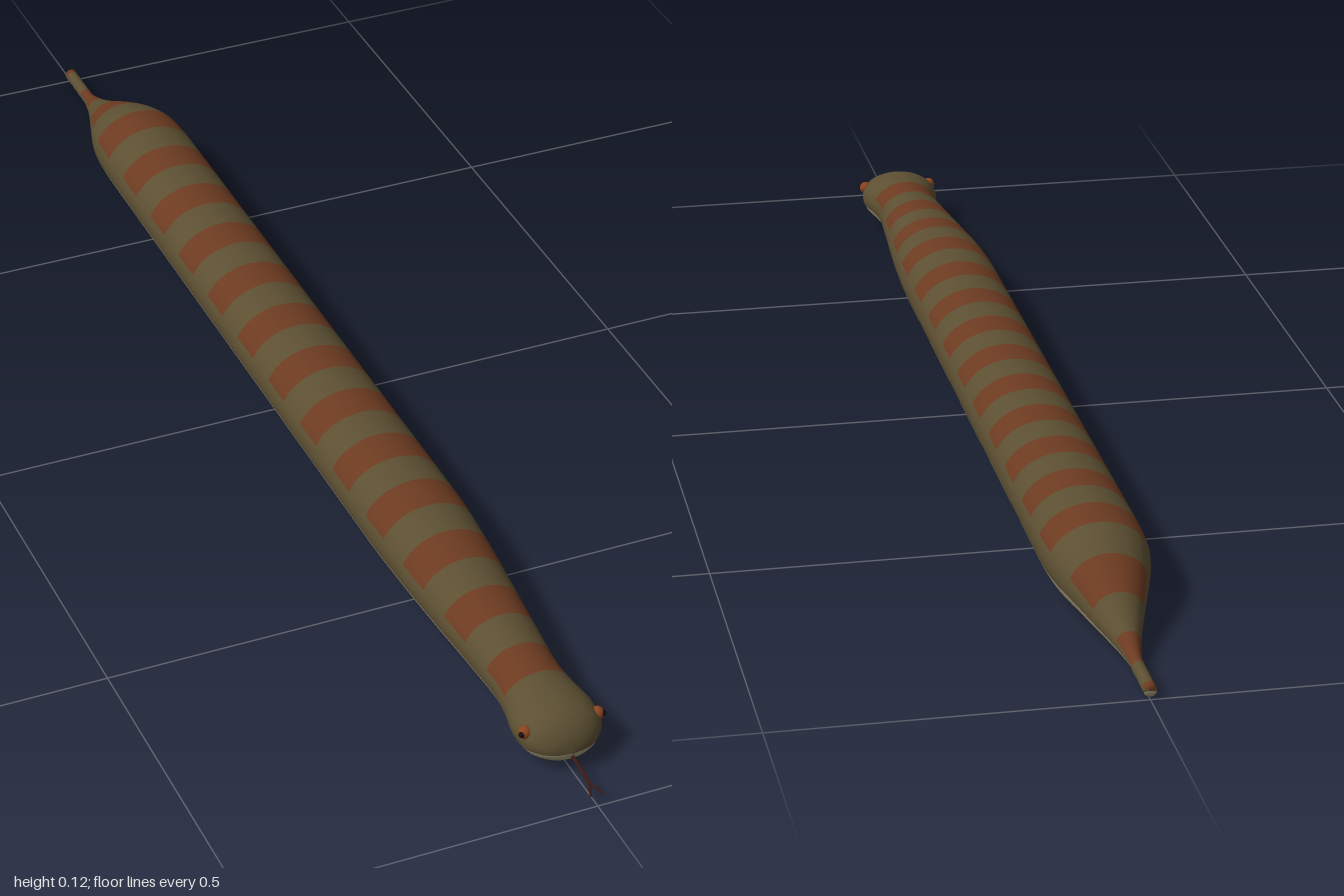
import * as THREE from 'three';

const mat = (name, color) => Object.assign(new THREE.MeshStandardMaterial({ color }), { name });

// Body profile: z, half width, top y, bottom y
const PROFILE = [
  [-1, 0.001, 0.014, 0.012], [-0.9995, 0.009, 0.022, 0.004], [-0.92, 0.009, 0.023, 0.004],
  [-0.88, 0.015, 0.034, 0.003], [-0.84, 0.026, 0.051, 0.002], [-0.8, 0.039, 0.072, 0.001],
  [-0.76, 0.052, 0.092, 0.001], [-0.72, 0.064, 0.108, 0], [-0.68, 0.071, 0.117, 0],
  [-0.62, 0.073, 0.119, 0], [0.4, 0.073, 0.119, 0], [0.5, 0.069, 0.114, 0],
  [0.6, 0.062, 0.104, 0.001], [0.7, 0.054, 0.095, 0.003], [0.78, 0.049, 0.087, 0.004],
  [0.82, 0.053, 0.085, 0.003], [0.86, 0.06, 0.083, 0.002], [0.89, 0.057, 0.077, 0.005],
  [0.91, 0.042, 0.064, 0.012], [0.92, 0.024, 0.048, 0.021], [0.924, 0.001, 0.033, 0.031],
];

// Monotone cubic interpolation of profile column k at z
function profileAt(z, k) {
  const P = PROFILE, last = P.length - 1;
  let i = 0;
  while (i < last - 1 && z > P[i + 1][0]) i++;
  const slope = (n) => (P[n + 1][k] - P[n][k]) / (P[n + 1][0] - P[n][0]);
  const tangent = (n) => {
    if (n === 0) return slope(0);
    if (n === last) return slope(last - 1);
    const a = slope(n - 1), b = slope(n);
    return a * b <= 0 ? 0 : (2 * a * b) / (a + b);
  };
  const h = P[i + 1][0] - P[i][0], t = (z - P[i][0]) / h, t2 = t * t, t3 = t2 * t;
  return (2 * t3 - 3 * t2 + 1) * P[i][k] + (t3 - 2 * t2 + t) * h * tangent(i)
    + (3 * t2 - 2 * t3) * P[i + 1][k] + (t3 - t2) * h * tangent(i + 1);
}

// One smooth skin, split into back, bands and belly by geometry groups
function bodyGeometry() {
  const zs = [-1, -0.9995];
  for (let n = -66; n <= 59; n++) zs.push(n * 0.015);
  zs.push(0.893, 0.9, 0.906, 0.912, 0.917, 0.92, 0.922, 0.924);

  // Angles line up with the colour boundaries around the section
  const angles = [], zones = [];
  for (const [from, to, count, zone] of [
    [-15, 18, 6, 'side'], [18, 162, 20, 'top'], [162, 195, 6, 'side'], [195, 345, 18, 'belly'],
  ]) {
    for (let n = 0; n < count; n++) {
      angles.push(THREE.MathUtils.degToRad(from + ((to - from) * n) / count));
      zones.push(zone);
    }
  }

  const positions = [], faces = [[], [], []], N = angles.length;
  zs.forEach((z, i) => {
    const w = profileAt(z, 1), top = profileAt(z, 2), bottom = profileAt(z, 3);
    angles.forEach((a, j) => {
      positions.push(w * Math.cos(a), (top + bottom) / 2 + ((top - bottom) / 2) * Math.sin(a), z);
      if (i === zs.length - 1) return;
      const mid = (z + zs[i + 1]) / 2;
      const banded = mid < 0.82 && Math.cos(((mid - 0.06) / 0.12) * Math.PI * 2) > 0;
      const slot = zones[j] === 'belly' ? 2 : zones[j] === 'top' && banded ? 1 : 0;
      const p = i * N + j, q = i * N + ((j + 1) % N);
      faces[slot].push(p, q, q + N, p, q + N, p + N);
    });
  });

  const geometry = new THREE.BufferGeometry();
  geometry.setAttribute('position', new THREE.Float32BufferAttribute(positions, 3));
  geometry.setIndex(faces.flat());
  let start = 0;
  faces.forEach((f, slot) => {
    geometry.addGroup(start, f.length, slot);
    start += f.length;
  });
  geometry.computeVertexNormals();
  return geometry;
}

export function createModel() {
  const group = new THREE.Group();
  const olive = mat('olive back', 0x5c4f32);
  const rust = mat('rust bands', 0x6c3b21);
  const cream = mat('cream belly', 0xa3977a);
  const amber = mat('amber eye', 0x8a4420);
  const black = mat('black pupil', 0x14100c);
  const tongueRed = mat('dark tongue', 0x3a1a16);

  const add = (name, geometry, material, parent = group) => {
    const mesh = new THREE.Mesh(geometry, material);
    mesh.name = name;
    parent.add(mesh);
    return mesh;
  };

  add('body', bodyGeometry(), [olive, rust, cream]);

  // Eyes with pupils on both sides of the head
  for (const side of [-1, 1]) {
    const eye = new THREE.Group();
    eye.name = side > 0 ? 'leftEye' : 'rightEye';
    eye.position.set(side * 0.053, 0.054, 0.884);
    add('iris', new THREE.SphereGeometry(0.0095, 20, 14), amber, eye);
    const pupil = add('pupil', new THREE.SphereGeometry(0.0045, 14, 10), black, eye);
    pupil.position.set(side * 0.0065, 0.001, 0.004);
    group.add(eye);
  }

  // Forked tongue
  const tongue = new THREE.Group();
  tongue.name = 'tongue';
  const strand = (name, points, radius) => add(name, new THREE.TubeGeometry(
    new THREE.CatmullRomCurve3(points.map((p) => new THREE.Vector3(...p))), 10, radius, 8), tongueRed, tongue);
  strand('tongueStem', [[0, 0.026, 0.9], [0, 0.023, 0.94], [0, 0.018, 0.975]], 0.0028);
  for (const side of [-1, 1]) {
    strand('tongueFork', [[0, 0.018, 0.973], [side * 0.005, 0.0175, 0.985], [side * 0.01, 0.017, 0.999]], 0.0017);
  }
  group.add(tongue);

  return group;
}
